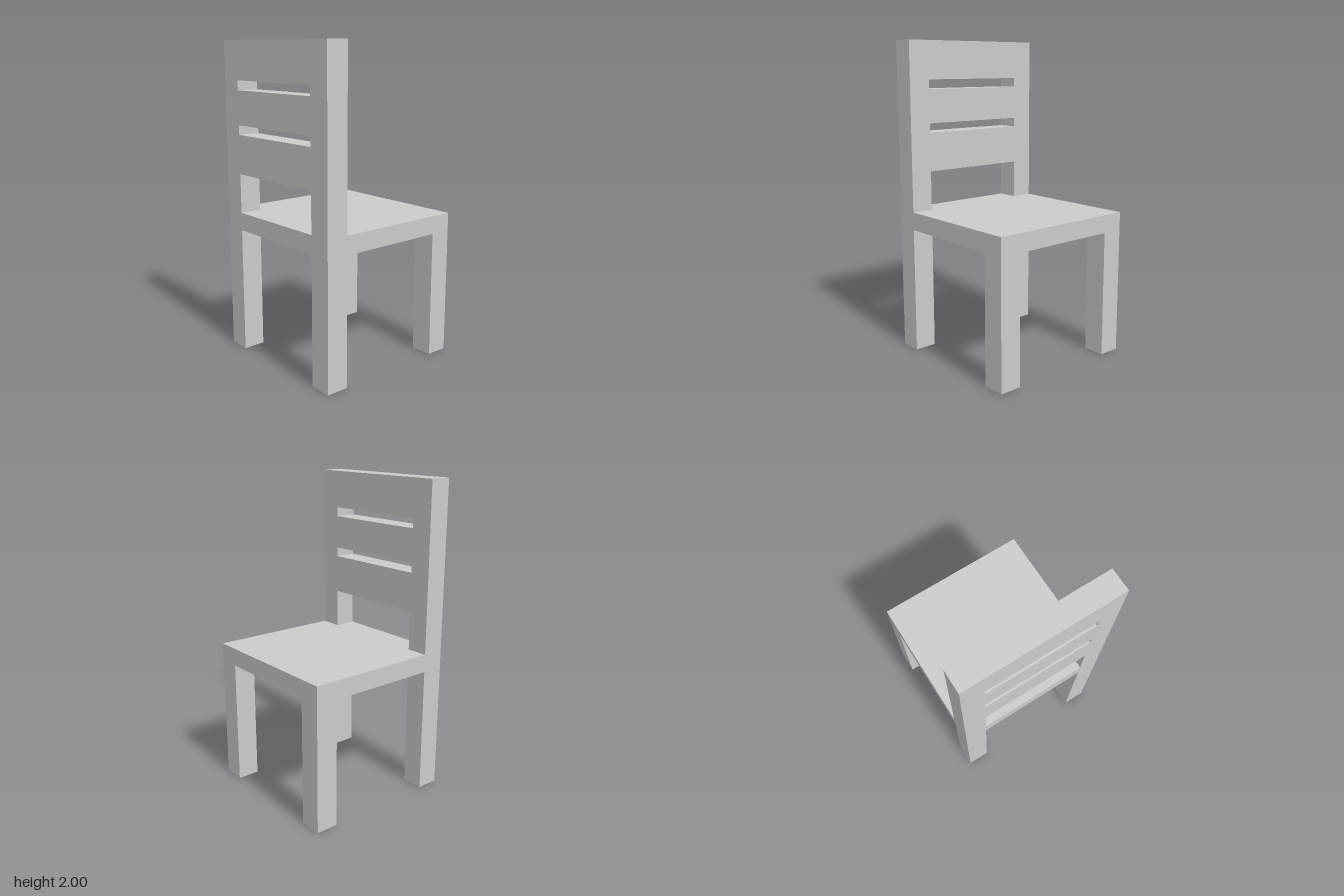
import * as THREE from 'three';

export function createModel() {
  const chair = new THREE.Group();
  chair.name = 'chair';
  const material = new THREE.MeshStandardMaterial({ color: 0xcccccc, flatShading: true });

  const add = (name, geometry) => {
    const mesh = new THREE.Mesh(geometry, material);
    mesh.name = name;
    chair.add(mesh);
    return mesh;
  };

  // Box given by its extents along each axis
  const addBox = (name, [x0, x1], [y0, y1], [z0, z1]) =>
    add(name, new THREE.BoxGeometry(x1 - x0, y1 - y0, z1 - z0))
      .position.set((x0 + x1) / 2, (y0 + y1) / 2, (z0 + z1) / 2);

  const half = 0.5, inner = 0.357;
  const seatBottom = 0.81, seatTop = 0.925, top = 2;

  // Seat slab
  addBox('seat', [-half, half], [seatBottom, seatTop], [-half, half]);

  // Four square legs; the chair faces +x, with its backrest on the -x side
  for (const [end, x] of [['back', [-half, -inner]], ['front', [inner, half]]]) {
    addBox(`${end}LegLeft`, x, [0, seatBottom], [-half, -inner]);
    addBox(`${end}LegRight`, x, [0, seatBottom], [inner, half]);
  }

  // Backrest: two posts joined by broad slats, open above the seat
  const outline = new THREE.Shape([
    [-half, seatTop], [-inner, seatTop], [-inner, 1.175], [inner, 1.175],
    [inner, seatTop], [half, seatTop], [half, top], [-half, top],
  ].map(([u, v]) => new THREE.Vector2(u, v)));

  // Narrow slots between the slats
  for (const [y0, y1] of [[1.423, 1.483], [1.698, 1.758]]) {
    outline.holes.push(new THREE.Path([
      [-inner, y0], [-inner, y1], [inner, y1], [inner, y0],
    ].map(([u, v]) => new THREE.Vector2(u, v))));
  }

  const back = new THREE.ExtrudeGeometry(outline, { depth: half - inner, bevelEnabled: false });
  back.rotateY(Math.PI / 2);
  add('backrest', back).position.x = -half;

  return chair;
}
